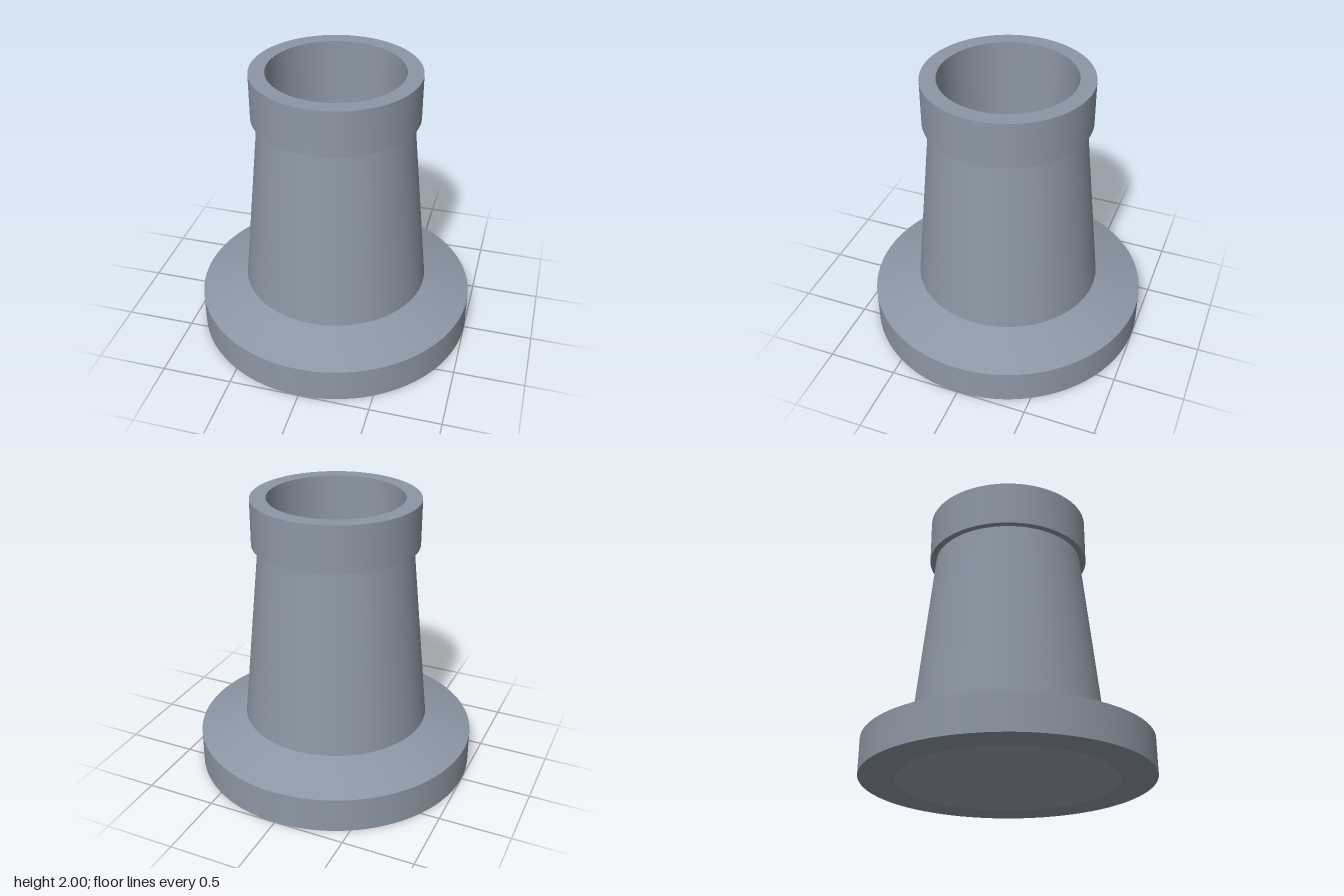
import * as THREE from 'three';
import { mergeGeometries } from 'three/addons/utils/BufferGeometryUtils.js';

const SEGMENTS = 96;

// Revolves a [radius, y] profile, one band per segment so that its corners stay sharp.
// Outer profiles run upwards, inner ones downwards, so every face points out of the metal.
function turned(name, profile, material) {
  const bands = [];
  for (let i = 0; i < profile.length - 1; i++) {
    const ends = [profile[i], profile[i + 1]].map(([r, y]) => new THREE.Vector2(r, y));
    bands.push(new THREE.LatheGeometry(ends, SEGMENTS));
  }
  const mesh = new THREE.Mesh(mergeGeometries(bands), material);
  mesh.name = name;
  return mesh;
}

export function createModel() {
  const group = new THREE.Group();
  group.name = 'flangedNozzle';
  const steel = new THREE.MeshStandardMaterial({ color: 0x8c97a4 });
  steel.name = 'blue grey steel';

  group.add(
    // Flange with a flat underside and a sloping shoulder
    turned('baseFlange', [[0.755, 0], [1, 0], [1, 0.25], [0.665, 0.37]], steel),
    // Tapered outer wall
    turned('taperedBody', [[0.665, 0.37], [0.535, 1.675]], steel),
    // Collar with its lower lip and top rim
    turned('topCollar', [[0.535, 1.675], [0.58, 1.675], [0.58, 2], [0.47, 2]], steel),
    // Upper bore down to the flat ledge
    turned('upperBore', [[0.47, 2], [0.47, 0.75], [0.32, 0.75]], steel),
    // Narrow throat
    turned('throat', [[0.32, 0.75], [0.32, 0.505]], steel),
    // Conical opening in the underside
    turned('lowerCone', [[0.32, 0.505], [0.755, 0]], steel),
  );
  return group;
}
